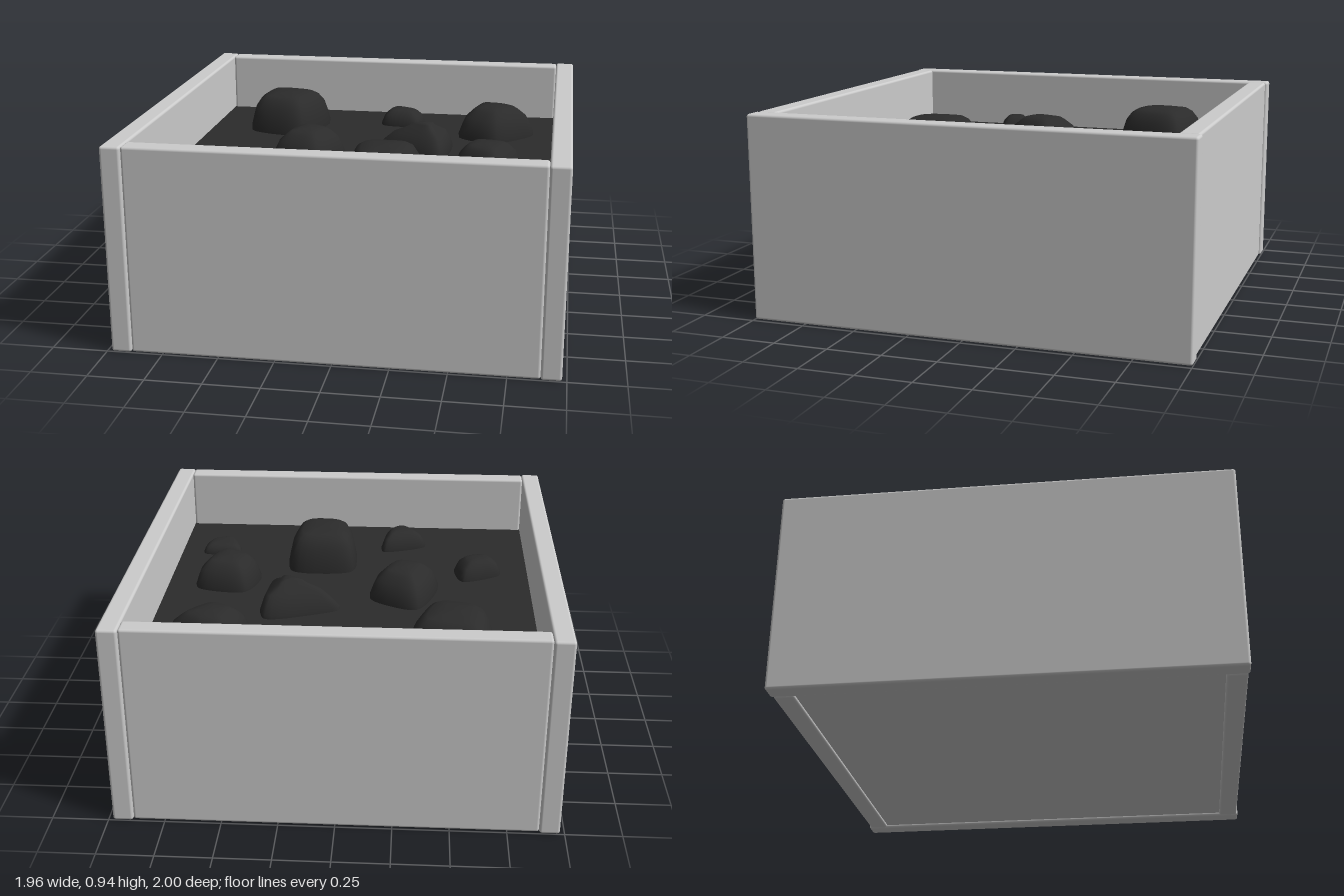
import * as THREE from 'three';
import { RoundedBoxGeometry } from 'three/addons/geometries/RoundedBoxGeometry.js';

const SOIL_Y = 0.65;

// Stones: height, width of the top, footprint corners [x, z] clockwise from above, lean of the peak
const STONES = [
  { h: 0.19, top: 0.72, p: [-0.66, -0.75, -0.26, -0.67, -0.38, -0.30, -0.70, -0.38] },
  { h: 0.08, top: 0.65, p: [0, -0.82, 0.22, -0.72, 0.18, -0.58, -0.03, -0.60] },
  { h: 0.16, top: 0.6, p: [0.46, -0.68, 0.66, -0.65, 0.82, -0.53, 0.60, -0.30, 0.39, -0.41] },
  { h: 0.15, top: 0.35, lean: 0.05, p: [0.01, -0.17, 0.41, -0.32, 0.37, 0.07, 0.04, -0.10] },
  { h: 0.15, top: 0.6, p: [-0.35, -0.18, -0.08, -0.04, -0.20, 0.24, -0.47, 0.16] },
  { h: 0.14, top: 0.65, p: [0.49, -0.01, 0.78, 0.04, 0.66, 0.37, 0.42, 0.22] },
  { h: 0.09, top: 0.6, p: [-0.77, 0.28, -0.55, 0.17, -0.51, 0.36, -0.72, 0.42] },
  { h: 0.19, top: 0.75, p: [-0.04, 0.26, 0.33, 0.25, 0.30, 0.64, -0.01, 0.63] },
  { h: 0.09, top: 0.6, p: [-0.41, 0.63, -0.14, 0.53, -0.16, 0.71, -0.27, 0.80] },
  { h: 0.05, top: 0.7, p: [0.56, 0.47, 0.79, 0.47, 0.76, 0.61, 0.63, 0.67] },
];

// Rounds a closed outline by cutting every corner, several times over
function roundedOutline(p) {
  let outline = [];
  for (let i = 0; i < p.length; i += 2) outline.push(new THREE.Vector2(p[i], p[i + 1]));
  for (const cut of [0.17, 0.25, 0.25]) {
    outline = outline.flatMap((v, i) => {
      const next = outline[(i + 1) % outline.length];
      return [v.clone().lerp(next, cut), v.clone().lerp(next, 1 - cut)];
    });
  }
  return outline;
}

// Smooth domed stone: the footprint is stacked in shrinking rings
function stoneGeometry({ p, h, top, lean = 0 }) {
  const outline = roundedOutline(p);
  const n = outline.length;
  const centre = outline.reduce((sum, v) => sum.add(v), new THREE.Vector2()).divideScalar(n);

  const mid = (1 + top) / 2;
  const rings = [[0.98, -0.15], [1, 0.12], [0.5 + mid / 2, 0.42], [mid, 0.66],
    [top, 0.86], [top * 0.8, 0.95], [top * 0.45, 0.99], [0, 1]];
  const positions = [], index = [];
  rings.forEach(([scale, level], r) => {
    for (const v of outline) {
      positions.push(
        centre.x + (v.x - centre.x) * scale + lean * Math.max(level, 0),
        SOIL_Y + h * level,
        centre.y + (v.y - centre.y) * scale);
    }
    if (r === 0) return;
    for (let i = 0; i < n; i++) {
      const j = (i + 1) % n;
      const a = (r - 1) * n + i, b = (r - 1) * n + j, c = r * n + i, d = r * n + j;
      index.push(b, a, c);
      if (scale > 0) index.push(b, c, d);
    }
  });

  const geometry = new THREE.BufferGeometry();
  geometry.setAttribute('position', new THREE.Float32BufferAttribute(positions, 3));
  geometry.setIndex(index);
  geometry.computeVertexNormals();
  return geometry;
}

export function createModel() {
  const model = new THREE.Group();
  model.name = 'planterBox';
  const grey = new THREE.MeshStandardMaterial({ color: 0xcccccc });
  const dark = new THREE.MeshStandardMaterial({ color: 0x2b2b2b });

  const add = (name, geometry, material, x = 0, y = 0, z = 0) => {
    const mesh = new THREE.Mesh(geometry, material);
    mesh.name = name;
    mesh.position.set(x, y, z);
    model.add(mesh);
  };

  // Four boards with softened edges; the side boards cover the ends of the others
  const H = 0.935, T = 0.09;
  const sideBoard = new RoundedBoxGeometry(T, H, 2, 3, 0.012);
  const endBoard = new RoundedBoxGeometry(1.78, H, T, 3, 0.012);
  add('leftBoard', sideBoard, grey, 0.935, H / 2, 0);
  add('rightBoard', sideBoard, grey, -0.935, H / 2, 0);
  add('frontBoard', endBoard, grey, 0, H / 2, 0.948);
  add('backBoard', endBoard, grey, 0, H / 2, -0.945);

  // Slightly recessed floor, and the soil above it
  add('floor', new THREE.BoxGeometry(1.79, 0.08, 1.82), grey, 0, 0.055, 0);
  add('soil', new THREE.BoxGeometry(1.79, SOIL_Y - 0.095, 1.82), dark, 0, (SOIL_Y + 0.095) / 2, 0);

  // Stones bedded in the soil
  STONES.forEach((stone, i) => add(`stone${i + 1}`, stoneGeometry(stone), dark));
  return model;
}
